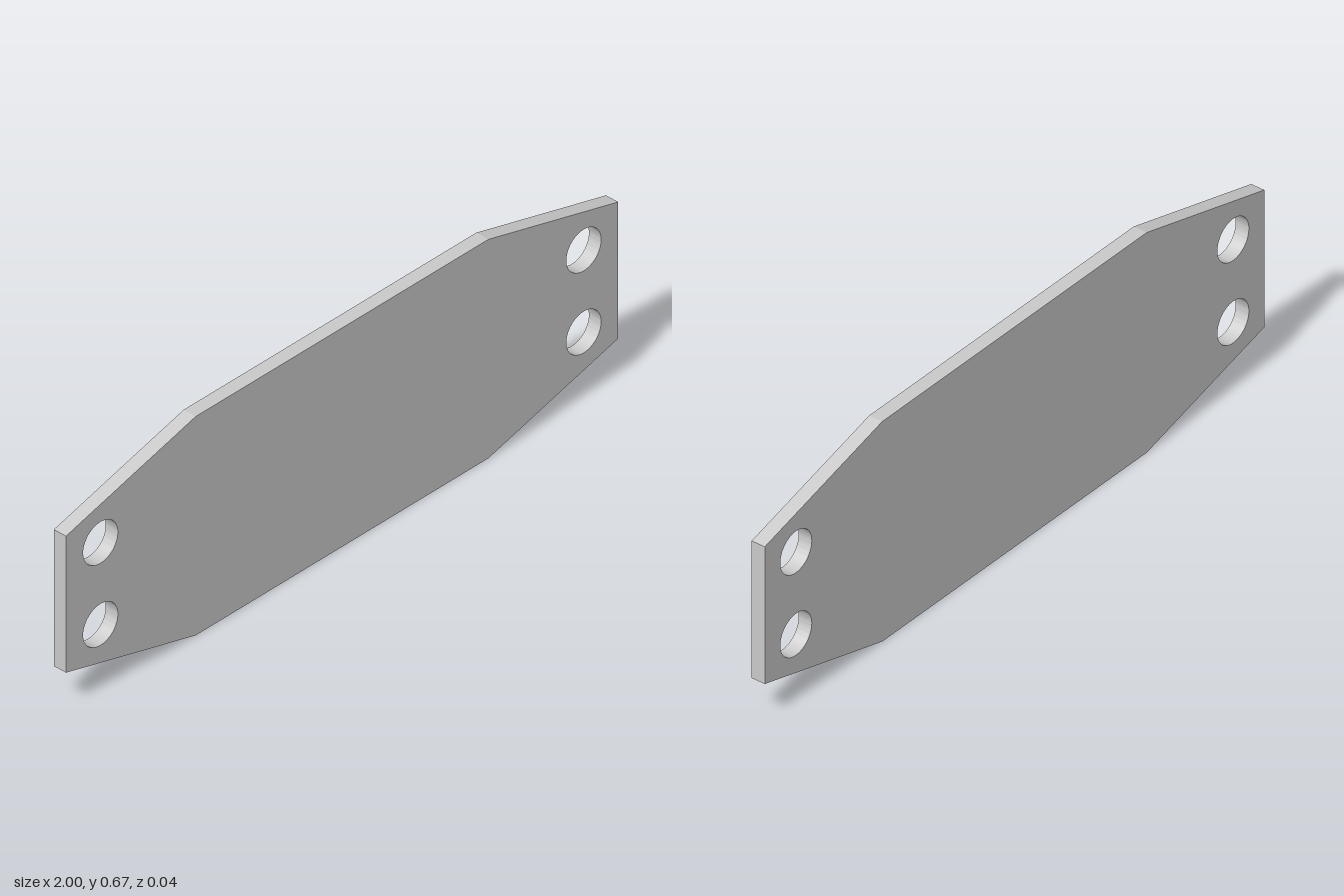
import * as THREE from 'three';
import { toCreasedNormals } from 'three/addons/utils/BufferGeometryUtils.js';

export function createModel() {
  const height = 0.667, thickness = 0.042;
  const midY = height / 2;
  const flatHalf = 0.53;   // half length of the straight top and bottom edges
  const endHalf = 0.208;   // half height of the narrow ends
  const holeX = 0.875, holeDY = 0.125, holeR = 0.063;

  // Eight-sided outline, tapering towards both ends
  const outline = new THREE.Shape([
    [-flatHalf, 0], [flatHalf, 0],
    [1, midY - endHalf], [1, midY + endHalf],
    [flatHalf, height], [-flatHalf, height],
    [-1, midY + endHalf], [-1, midY - endHalf],
  ].map(([x, y]) => new THREE.Vector2(x, y)));

  // Two bolt holes at each end
  for (const sx of [-1, 1]) {
    for (const sy of [-1, 1]) {
      const hole = new THREE.Path();
      hole.absarc(sx * holeX, midY + sy * holeDY, holeR, 0, Math.PI * 2, true);
      outline.holes.push(hole);
    }
  }

  const extruded = new THREE.ExtrudeGeometry(outline, {
    depth: thickness, bevelEnabled: false, curveSegments: 48,
  });
  extruded.translate(0, 0, -thickness / 2);

  // Smooth hole walls, sharp plate edges
  const plate = new THREE.Mesh(
    toCreasedNormals(extruded, 0.2),
    new THREE.MeshStandardMaterial({ color: 0xcccccc }),
  );
  plate.name = 'mountingPlate';

  const group = new THREE.Group();
  group.name = 'taperedPlate';
  group.add(plate);
  return group;
}
